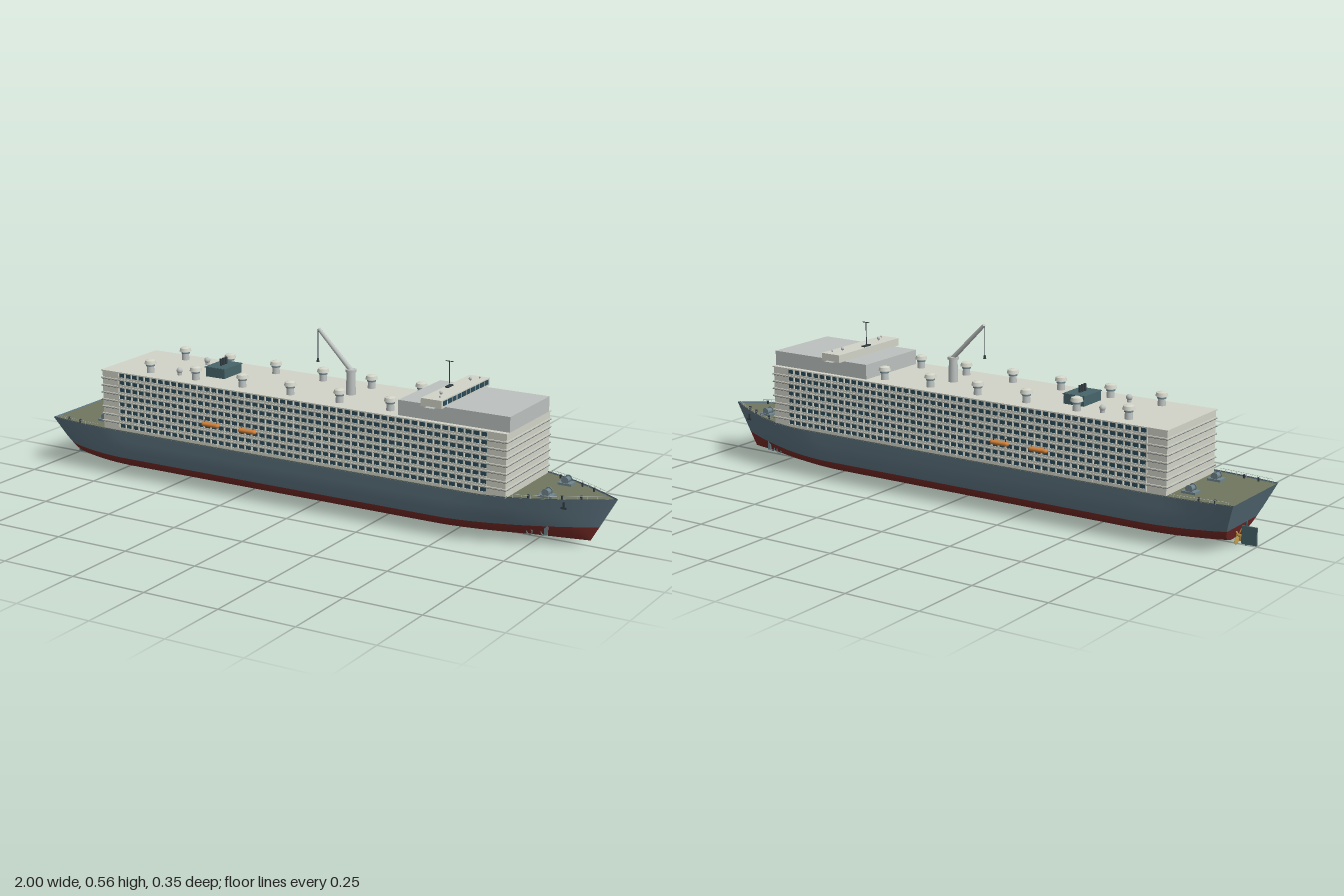
import * as THREE from 'three';
import { mergeGeometries } from 'three/addons/utils/BufferGeometryUtils.js';

const mat = (color, flatShading = false) =>
  new THREE.MeshStandardMaterial({ color, flatShading, side: THREE.DoubleSide });
const M = {
  hull: mat(0x5f7683), red: mat(0x7a2c28), deck: mat(0x70765f), white: mat(0xd2d4c8),
  grey: mat(0xbcc2c0), line: mat(0x59666b), glass: mat(0x2b4c5a), steel: mat(0x6f858d),
  dark: mat(0x333f45), teal: mat(0x47656a), orange: mat(0xd0803a), gold: mat(0xb58f45),
};

// Small geometry helpers
const box = (w, h, d, x, y, z) => new THREE.BoxGeometry(w, h, d).translate(x, y, z);
const cyl = (r0, r1, h, x, y, z, n = 16) => new THREE.CylinderGeometry(r0, r1, h, n).translate(x, y, z);
const ball = (r, x, y, z) => new THREE.SphereGeometry(r, 16, 12).translate(x, y, z);
const rod = (a, b, r0, r1 = r0, n = 8) => {
  const p = new THREE.Vector3(...a), dir = new THREE.Vector3(...b).sub(p), len = dir.length();
  const q = new THREE.Quaternion().setFromUnitVectors(new THREE.Vector3(0, 1, 0), dir.normalize());
  return new THREE.CylinderGeometry(r1, r0, len, n).translate(0, len / 2, 0).applyQuaternion(q).translate(...a);
};

// Smooth sheet through a grid of points
function sheet(rows) {
  const n = rows[0].length, idx = [];
  for (let i = 0; i < rows.length - 1; i++) for (let j = 0; j < n - 1; j++) {
    const a = i * n + j, b = a + n;
    idx.push(a, b, a + 1, b, b + 1, a + 1);
  }
  const g = new THREE.BufferGeometry();
  g.setAttribute('position', new THREE.Float32BufferAttribute(rows.flat(2), 3));
  g.setIndex(idx);
  g.computeVertexNormals();
  return g;
}

// Hull rule: midship half widths by height, raked ends, tapered bow and stern
const PROFILE = [[0.018, 0], [0.018, 0.065], [0.027, 0.115], [0.047, 0.147], [0.063, 0.155],
  [0.09, 0.165], [0.125, 0.169], [0.16, 0.172]];
const STATIONS = 56;
function hullPoint(u, y, w, side) {
  const t = (y - 0.018) / 0.142;
  const x0 = -0.93 - 0.062 * t, x1 = 0.915 + 0.082 * t;
  const x = x0 + (x1 - x0) * u;
  const start = 0.45 + 0.13 * t, p = Math.max(0, (x - start) / (x1 - start));
  const q = Math.max(0, (-0.68 - x) / (-0.68 - x0));
  const f = Math.max(0, 1 - p ** (1.6 + 0.1 * t)) * (1 - (0.48 - 0.33 * t) * q * q);
  return [x, y, side * w * f];
}
const stations = Array.from({ length: STATIONS + 1 }, (_, i) => Math.sin((i / STATIONS - 0.5) * Math.PI) * 0.5 + 0.5);

function hullBand(levels) {
  const parts = [];
  for (const s of [1, -1]) {
    // Mirrored side reverses the profile so that faces look outward
    const order = s > 0 ? levels : [...levels].reverse();
    parts.push(sheet(stations.map(u => order.map(([y, w]) => hullPoint(u, y, w, s)))));
  }
  parts.push(sheet(levels.map(([y, w]) => [hullPoint(0, y, w, -1), hullPoint(0, y, w, 1)])));
  return mergeGeometries(parts);
}
const deckEdge = (x, inset = 0.004) => {
  const u = (x + 0.992) / 1.989;
  const p = hullPoint(u, 0.16, 0.172, 1);
  return Math.max(0, p[2] - inset);
};

export function createModel() {
  const ship = new THREE.Group();
  ship.name = 'passengerShip';
  const add = (name, material, geos) => {
    const list = Array.isArray(geos) ? geos : [geos];
    const mesh = new THREE.Mesh(list.length > 1 ? mergeGeometries(list) : list[0], material);
    mesh.name = name;
    ship.add(mesh);
  };

  // Hull in two paint bands, and the open deck
  add('lowerHull', M.red, hullBand(PROFILE.slice(0, 5)));
  add('upperHull', M.hull, hullBand(PROFILE.slice(4)));
  add('mainDeck', M.deck, sheet(stations.map(u =>
    [1, -1].map(s => hullPoint(u, 0.156, 0.1715, s)))));
  add('deckEdge', M.dark, [1, -1].map(s => sheet(stations.map(u => {
    const [x, , z] = hullPoint(u, 0.1605, 0.172, s);
    return [[x, 0.1605, z], [x, 0.1605, s * Math.max(0, Math.abs(z) - 0.005)]];
  }))));

  // Accommodation block with eight decks
  const FLOORS = 8, H = 0.195 / FLOORS, Y0 = 0.16;
  const slabs = [], windows = [], dividers = [], rails = [], seams = [];
  add('accommodationBlock', M.white, box(1.478, 0.2, 0.3, -0.037, 0.255, 0));
  for (let f = 0; f < FLOORS; f++) {
    const y = Y0 + f * H;
    slabs.push(box(1.484, 0.004, 0.309, -0.037, y + H - 0.002, 0));
    if (f < FLOORS - 1) seams.push(box(1.486, 0.0013, 0.3095, -0.037, y + H - 0.0045, 0));
    for (const s of [1, -1]) {
      rails.push(box(1.35, 0.006, 0.002, -0.035, y + 0.004, s * 0.1535));
      for (let c = 0; c < 52; c++) {
        const x = -0.697 + c * 0.026;
        windows.push(box(0.018, 0.0135, 0.003, x, y + 0.0135, s * 0.1505));
        dividers.push(box(0.003, H, 0.005, x - 0.013, y + H / 2, s * 0.1525));
      }
    }
  }
  add('deckSlabs', M.white, slabs);
  add('deckSeams', M.line, seams);
  add('balconyWindows', M.glass, windows);
  add('balconyDividers', M.white, dividers);
  add('balconyRails', M.white, rails);

  // Forward house, bridge and its windows
  add('forwardHouse', M.grey, box(0.375, 0.048, 0.272, 0.5175, 0.379, 0));
  add('bridge', M.white, box(0.07, 0.025, 0.32, 0.455, 0.4145, 0));
  add('bridgeWings', M.grey, box(0.03, 0.002, 0.352, 0.455, 0.403, 0));
  add('bridgeWindows', M.glass, Array.from({ length: 10 }, (_, i) =>
    box(0.003, 0.015, 0.024, 0.4895, 0.416, (i - 4.5) * 0.0305)));
  add('radarDomes', M.grey, [1, -1].flatMap(s => [
    ball(0.0055, 0.455, 0.434, s * 0.097), ball(0.003, 0.47, 0.432, s * 0.132),
    cyl(0.002, 0.002, 0.006, 0.455, 0.429, s * 0.097, 8), cyl(0.001, 0.001, 0.004, 0.47, 0.429, s * 0.132, 8)]));
  add('radarMast', M.dark, [rod([0.432, 0.427, 0], [0.432, 0.507, 0], 0.0015),
    box(0.026, 0.0018, 0.003, 0.432, 0.507, 0), box(0.012, 0.004, 0.035, 0.432, 0.429, 0)]);

  // Roof ventilators
  const vents = [], caps = [], bands = [];
  for (const s of [1, -1]) {
    for (let i = 0; i < 6; i++) {
      const x = -0.617 + i * 0.18, z = s * 0.1;
      vents.push(cyl(0.011, 0.013, 0.03, x, 0.37, z));
      bands.push(cyl(0.0145, 0.0145, 0.004, x, 0.379, z));
      caps.push(cyl(0.017, 0.02, 0.011, x, 0.39, z), cyl(0.006, 0.017, 0.004, x, 0.3975, z));
    }
    vents.push(cyl(0.007, 0.007, 0.012, -0.515, 0.361, s * 0.08), ball(0.01, -0.515, 0.37, s * 0.08));
  }
  add('ventilators', M.grey, vents);
  add('ventilatorBands', M.steel, bands);
  add('ventilatorCaps', M.white, caps);

  // Funnel casing with exhaust pipes
  add('funnelCasing', M.teal, [box(0.072, 0.034, 0.1, -0.396, 0.371, 0), box(0.078, 0.003, 0.104, -0.396, 0.386, 0)]);
  add('exhaustPipes', M.dark, [-1, 0, 1].map(i => cyl(0.0045, 0.0045, 0.025, -0.396, 0.398, i * 0.014, 12)));

  // Deck crane
  add('cranePedestal', M.grey, [cyl(0.014, 0.016, 0.075, 0.085, 0.392, 0), cyl(0.018, 0.018, 0.008, 0.085, 0.432, 0)]);
  add('craneBoom', M.grey, rod([0.09, 0.428, 0], [-0.033, 0.552, 0], 0.008, 0.006, 12));
  add('craneCable', M.dark, [rod([-0.036, 0.55, 0], [-0.036, 0.455, 0], 0.0012), cyl(0.003, 0.005, 0.012, -0.036, 0.45, 0, 8)]);

  // Lifeboats hanging from davits
  const boats = [], davits = [];
  for (const s of [1, -1]) for (const x of [-0.34, -0.2]) {
    boats.push(new THREE.CapsuleGeometry(0.0085, 0.05, 6, 14).rotateZ(Math.PI / 2).scale(1, 0.85, 1.1).translate(x, 0.231, s * 0.162));
    for (const d of [-0.022, 0.022])
      davits.push(rod([x + d, 0.246, s * 0.15], [x + d, 0.246, s * 0.162], 0.0012), rod([x + d, 0.246, s * 0.162], [x + d, 0.235, s * 0.162], 0.0009));
  }
  add('lifeboats', M.orange, boats);
  add('davits', M.dark, davits);

  // Mooring winches and bollards fore and aft
  const winches = [], bollards = [];
  for (const s of [1, -1]) {
    for (const [x, z] of [[-0.82, 0.08], [0.8, 0.07]]) {
      winches.push(box(0.045, 0.007, 0.036, x, 0.16, s * z),
        cyl(0.009, 0.009, 0.026, 0, 0, 0).rotateX(Math.PI / 2).translate(x, 0.17, s * z));
      for (const d of [-0.013, 0.013])
        winches.push(cyl(0.012, 0.012, 0.003, 0, 0, 0).rotateX(Math.PI / 2).translate(x, 0.171, s * z + d));
    }
    for (const x of [-0.93, -0.88, 0.76, 0.85, 0.9])
      bollards.push(cyl(0.004, 0.003, 0.012, x, 0.162, s * (deckEdge(x) - 0.012), 8));
  }
  add('winches', M.steel, winches);
  add('bollards', M.dark, bollards);

  // Guard rails along both ends of the open deck
  const posts = [];
  for (const s of [1, -1]) for (const [a, b] of [[-0.975, -0.79], [0.72, 0.97]]) {
    for (let i = 0; i < 10; i++) {
      const x = a + (b - a) * i / 10, x2 = x + (b - a) / 10;
      posts.push(rod([x, 0.158, s * deckEdge(x)], [x, 0.169, s * deckEdge(x)], 0.0006, 0.0006, 5),
        rod([x, 0.169, s * deckEdge(x)], [x2, 0.169, s * deckEdge(x2)], 0.0006, 0.0006, 5));
    }
  }
  add('guardRails', M.grey, posts);

  // Anchors and thruster tunnels at the bow
  const anchors = [], tunnels = [];
  for (const s of [1, -1]) {
    anchors.push(box(0.006, 0.02, 0.004, 0.865, 0.146, s * 0.092), box(0.018, 0.006, 0.006, 0.865, 0.137, s * 0.092));
    for (const x of [0.75, 0.79])
      tunnels.push(new THREE.TorusGeometry(0.009, 0.002, 8, 18).translate(x, 0.041, s * (hullPoint((x + 0.94) / 1.87, 0.042, 0.139, 1)[2] + 0.002)));
    tunnels.push(box(0.012, 0.035, 0.003, 0.8, 0.052, s * 0.068));
  }
  add('anchors', M.dark, anchors);
  add('thrusterTunnels', M.steel, tunnels);

  // Rudder, propeller and shaft
  add('rudder', M.teal, [box(0.05, 0.056, 0.006, -0.975, 0.031, 0), cyl(0.003, 0.003, 0.075, -0.965, 0.0375, 0, 8)]);
  const blades = [];
  for (let i = 0; i < 4; i++)
    blades.push(new THREE.SphereGeometry(1, 12, 8).scale(0.002, 0.014, 0.008).rotateY(0.5)
      .translate(0, 0.017, 0).rotateX(Math.PI / 4 + i * Math.PI / 2).translate(-0.94, 0.026, 0));
  blades.push(rod([-0.948, 0.026, 0], [-0.915, 0.026, 0], 0.005, 0.005, 12));
  add('propeller', M.gold, blades);
  return ship;
}
